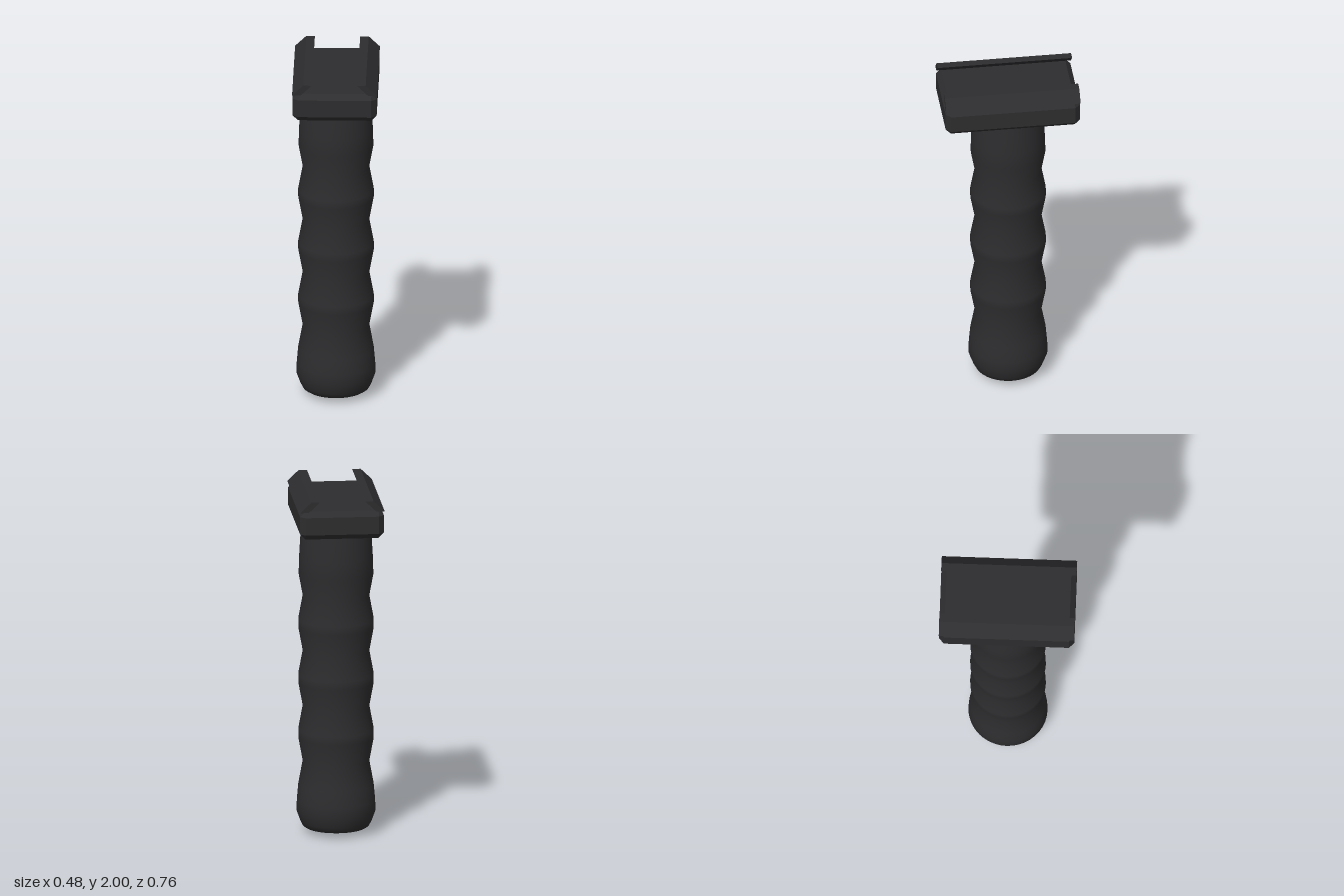
import * as THREE from 'three';
import { ConvexGeometry } from 'three/addons/geometries/ConvexGeometry.js';

const material = new THREE.MeshStandardMaterial({ color: 0x2d2d2f });
const flatMaterial = new THREE.MeshStandardMaterial({ color: 0x2d2d2f, flatShading: true });

// Box with every edge and corner chamfered by b
function chamferedBox(w, h, d, b) {
  const points = [];
  const X = w / 2, Y = h / 2, Z = d / 2;
  for (const sx of [-1, 1]) for (const sy of [-1, 1]) for (const sz of [-1, 1]) {
    points.push(
      new THREE.Vector3(sx * X, sy * (Y - b), sz * (Z - b)),
      new THREE.Vector3(sx * (X - b), sy * Y, sz * (Z - b)),
      new THREE.Vector3(sx * (X - b), sy * (Y - b), sz * Z),
    );
  }
  return new ConvexGeometry(points);
}

// Slanted clamp bar running along z; side is +1 (left) or -1 (right)
function clampRail(side) {
  const outline = [[0.19, 1.94], [0.238, 1.94], [0.175, 2], [0.127, 2]];
  const shape = new THREE.Shape(outline.map(([x, y]) => new THREE.Vector2(side * x, y)));
  const geometry = new THREE.ExtrudeGeometry(shape, { depth: 0.76, bevelEnabled: false });
  return geometry.translate(0, 0, -0.38);
}

export function createModel() {
  const model = new THREE.Group();
  const add = (name, geometry, mat) => {
    const mesh = new THREE.Mesh(geometry, mat);
    mesh.name = name;
    model.add(mesh);
    return mesh;
  };

  // Handle: rounded foot, repeated finger swells, slightly tapered neck
  const profile = [[0, 0.005], [0.17, 0.034], [0.187, 0.045], [0.2, 0.07], [0.222, 0.13], [0.22, 0.19], [0.212, 0.28]];
  for (let i = 0; i < 3; i++) {
    const y = 0.415 + i * 0.318;
    profile.push([0.187, y], [0.212, y + 0.135], [0.212, y + 0.183]);
  }
  profile.push([0.187, 1.37], [0.21, 1.495], [0.207, 1.6], [0.201, 1.7], [0.194, 1.79]);
  add('handle', new THREE.LatheGeometry(profile.map(([r, y]) => new THREE.Vector2(r, y)), 40), material);

  // Mounting plate
  add('mountingPlate', chamferedBox(0.472, 0.16, 0.76, 0.03), flatMaterial).position.y = 1.86;

  // Clamp rails
  add('leftRail', clampRail(1), flatMaterial);
  add('rightRail', clampRail(-1), flatMaterial);

  return model;
}
